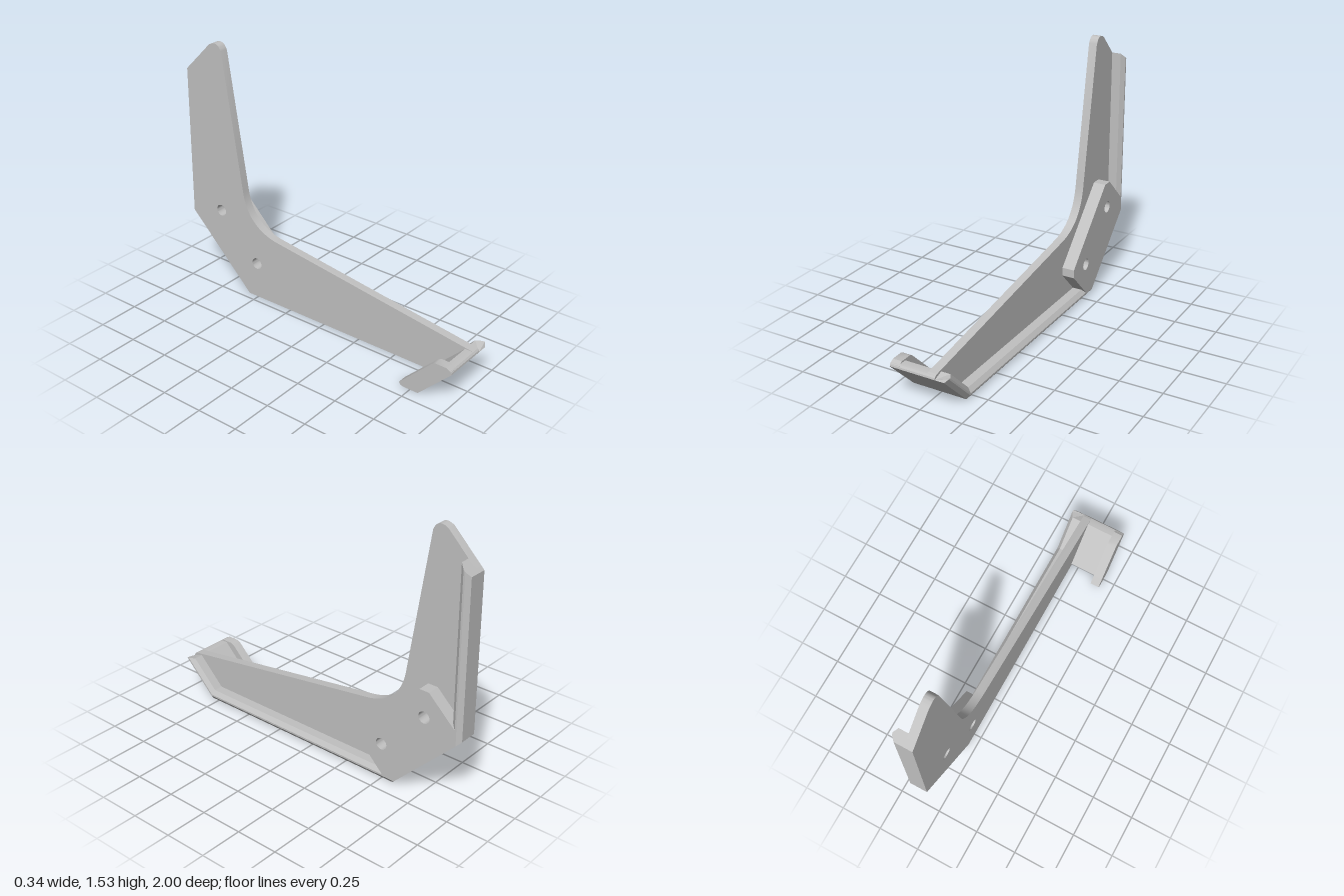
import * as THREE from 'three';
import { toCreasedNormals } from 'three/addons/utils/BufferGeometryUtils.js';

const grey = new THREE.MeshStandardMaterial({ color: 0xc0c0c0 });
grey.name = 'light grey';

// Profiles are given as [z, y]; the extrusion runs along x.
const polygon = (pts) => new THREE.Shape(pts.map(([z, y]) => new THREE.Vector2(-z, y)));

function slab(name, shape, x0, x1) {
  const geo = new THREE.ExtrudeGeometry(shape, { depth: x1 - x0, bevelEnabled: false, curveSegments: 16 });
  geo.rotateY(Math.PI / 2).translate(x0, 0, 0);
  const mesh = new THREE.Mesh(toCreasedNormals(geo, 0.5), grey);
  mesh.name = name;
  return mesh;
}

// Two bolt holes through the corner
function drill(shape) {
  for (const [z, y] of [[-0.775, 0.495], [-0.505, 0.225]]) {
    const hole = new THREE.Path();
    hole.absarc(-z, y, 0.035, 0, Math.PI * 2, true);
    shape.holes.push(hole);
  }
  return shape;
}

// Chamfered rim section: [distance in from the outer edge, x]
const rimSection = [[0, 0.09], [0, 0.15], [0.025, 0.17], [0.035, 0.17], [0.06, 0.15], [0.06, 0.09]];

// Sweep the rim section through stations; each maps the inset d to [z, y]
function rim(name, stations) {
  const rings = stations.map((at) => rimSection.map(([d, x]) => {
    const [z, y] = at(d);
    return [x, y, z];
  }));
  const pos = [];
  const n = rimSection.length;
  const tri = (a, b, c) => pos.push(...a, ...b, ...c);
  for (let r = 0; r < rings.length - 1; r++) {
    const a = rings[r], b = rings[r + 1];
    for (let i = 0; i < n; i++) {
      const j = (i + 1) % n;
      tri(a[i], b[i], b[j]);
      tri(a[i], b[j], a[j]);
    }
  }
  const first = rings[0], last = rings[rings.length - 1];
  for (let i = 1; i < n - 1; i++) {
    tri(first[0], first[i], first[i + 1]);
    tri(last[0], last[i + 1], last[i]);
  }
  const geo = new THREE.BufferGeometry();
  geo.setAttribute('position', new THREE.Float32BufferAttribute(pos, 3));
  geo.computeVertexNormals();
  const mesh = new THREE.Mesh(geo, grey);
  mesh.name = name;
  return mesh;
}

export function createModel() {
  const model = new THREE.Group();
  model.name = 'angledBracket';

  // Main L-shaped plate with a rounded tip and inner corner
  const plate = new THREE.Shape();
  plate.moveTo(-0.8, 0);
  plate.lineTo(0.57, 0);
  plate.lineTo(1, 0.43);
  plate.lineTo(1, 1.34);
  plate.lineTo(0.82, 1.52);
  plate.quadraticCurveTo(0.755, 1.56, 0.73, 1.49);
  plate.lineTo(0.6, 0.68);
  plate.quadraticCurveTo(0.57, 0.46, 0.36, 0.42);
  plate.lineTo(-0.97, 0.225);
  plate.quadraticCurveTo(-1, 0.22, -1, 0.2);
  model.add(slab('mainPlate', drill(plate), 0.045, 0.095));

  // Raised mounting pad at the corner
  const pad = polygon([[-0.35, 0.25], [-0.35, 0.2], [-0.51, 0.04], [-0.53, 0.025], [-0.595, 0.025],
    [-0.975, 0.405], [-0.975, 0.485], [-0.8, 0.65], [-0.74, 0.65]]);
  model.add(slab('mountingPad', drill(pad), 0.095, 0.17));

  // Rims along the front and bottom edges, and along the back edge
  model.add(rim('lowerRim', [
    (d) => { const y = 0.2 + Math.min(d, 0.02); return [y + 0.8 - d * 4 / 3, y]; },
    (d) => [0.8 - d / 3, d],
    (d) => [-0.57 - d, d],
  ]));
  model.add(rim('backRim', [
    (d) => [-1 + d, 0.43 - d],
    (d) => [-1 + d, 1.34 + d],
  ]));

  // Slanted front hook with a lip at its free side
  const tip = [[1, 0.2], [0.998, 0.21], [0.99, 0.219], [0.975, 0.222]];
  model.add(slab('frontHook', polygon([[0.8, 0], ...tip, [0.942, 0.222], [0.74, 0.02], [0.75, 0]]), -0.175, 0.095));
  model.add(slab('hookLip', polygon([[0.8, 0], [1, 0.2], [0.995, 0.215], [0.97, 0.23], [0.9, 0.23],
    [0.88, 0.22], [0.68, 0.02], [0.69, 0.005], [0.71, 0]]), -0.175, -0.12));

  return model;
}
